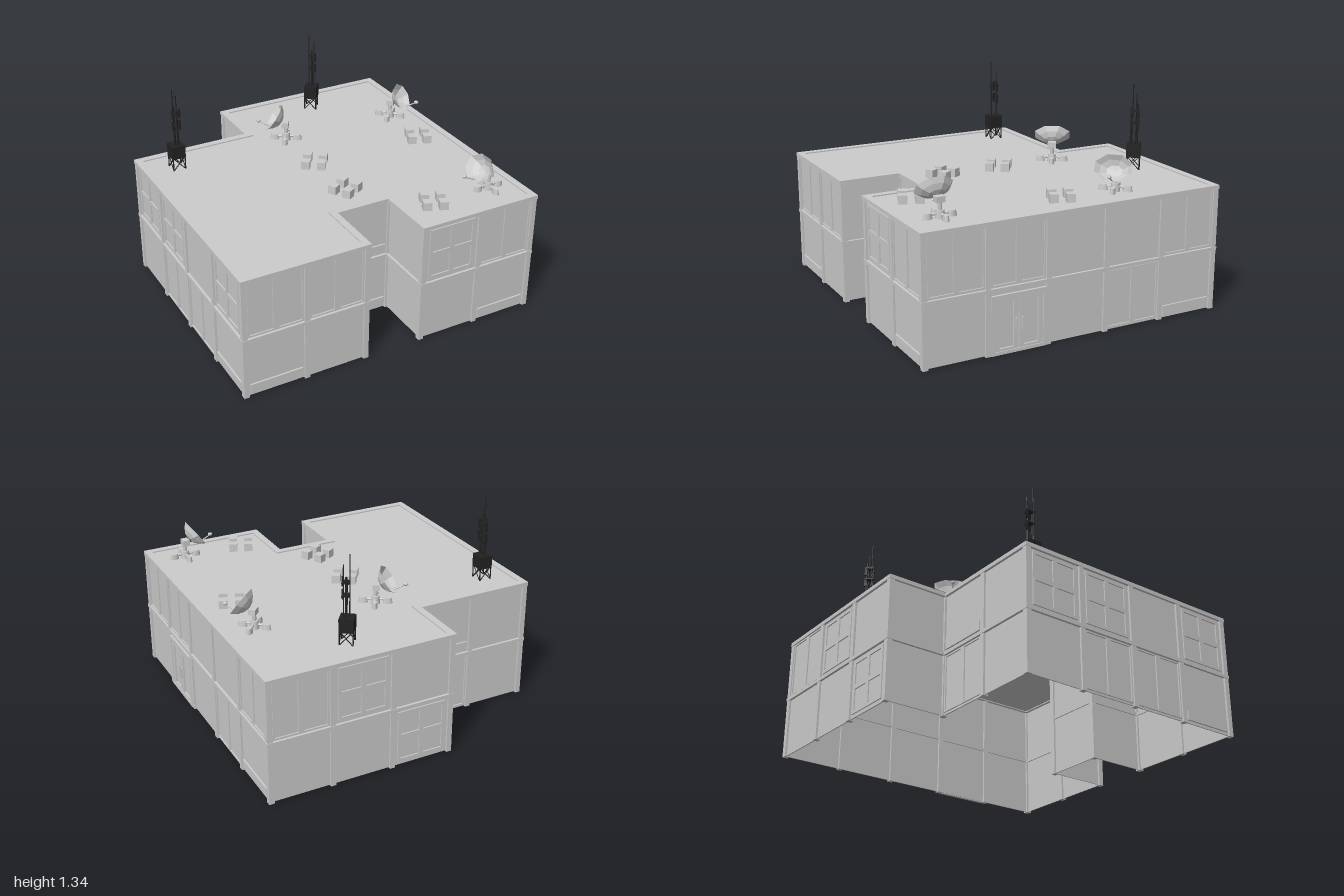
import * as THREE from 'three';

const grey = new THREE.MeshStandardMaterial({ color: 0xcccccc, flatShading: true, side: THREE.DoubleSide });
const smooth = new THREE.MeshStandardMaterial({ color: 0xcccccc, side: THREE.DoubleSide });
const black = new THREE.MeshStandardMaterial({ color: 0x222222, flatShading: true });

function add(parent, name, geo, mat, x = 0, y = 0, z = 0) {
  const m = new THREE.Mesh(geo, mat);
  m.name = name;
  m.position.set(x, y, z);
  parent.add(m);
  return m;
}
const box = (parent, name, w, h, d, x, y, z, mat = grey) =>
  add(parent, name, new THREE.BoxGeometry(w, h, d), mat, x, y, z);

// Round bar between two points
function bar(parent, name, a, b, r, mat, sides = 6) {
  const p = new THREE.Vector3(...a), q = new THREE.Vector3(...b);
  const m = add(parent, name, new THREE.CylinderGeometry(r, r, p.distanceTo(q), sides), mat);
  m.position.copy(p).add(q).multiplyScalar(0.5);
  m.quaternion.setFromUnitVectors(new THREE.Vector3(0, 1, 0), q.sub(p).normalize());
  return m;
}

// Wall centre line (x, z), each side with its upper and lower bay types:
// P two panes, X four panes, S low sill panel, D double door, . plain
const A = 0.98, B = 0.195, C = 0.585, BAY = 0.391;
const sides = [
  [-A, A, 'PP', 'S.'], [-B, A, '.', '.'], [-B, C, 'S', 'S'], [B, C, '.', '.'],
  [B, A, 'XP', '.S'], [A, A, 'PP..P', '.D.PS'], [A, -A, 'PX.', '..X'],
  [-B, -A, '.', '.'], [-B, -C, 'S.', 'P.'], [-A, -C, 'XX.X', '.PPS'],
];

// Footprint moved outward by d
function outline(d) {
  const n = sides.length;
  const normal = i => {
    const p = sides[(i + n) % n], q = sides[(i + 1 + n) % n];
    return [-Math.sign(q[1] - p[1]), Math.sign(q[0] - p[0])];
  };
  return sides.map(([x, z], i) => {
    const a = normal(i - 1), b = normal(i);
    return new THREE.Vector2(x + d * (a[0] + b[0]), -(z + d * (a[1] + b[1])));
  });
}
function slab(outer, inner, height) {
  const s = new THREE.Shape(outline(outer));
  if (inner !== null) s.holes.push(new THREE.Path(outline(inner)));
  return new THREE.ExtrudeGeometry(s, { depth: height, bevelEnabled: false }).rotateX(-Math.PI / 2);
}

function rect(s, x, y, w, h) {
  s.moveTo(x, y); s.lineTo(x + w, y); s.lineTo(x + w, y + h); s.lineTo(x, y + h); s.closePath();
  return s;
}
// Window frame with cols x rows openings, centred in x and standing on y = 0
function frameGeo(w, h, cols, rows, edge, gap, depth) {
  const s = rect(new THREE.Shape(), -w / 2, 0, w, h);
  const pw = (w - 2 * edge - (cols - 1) * gap) / cols, ph = (h - 2 * edge - (rows - 1) * gap) / rows;
  for (let i = 0; i < cols; i++) for (let j = 0; j < rows; j++)
    s.holes.push(rect(new THREE.Path(), -w / 2 + edge + i * (pw + gap), edge + j * (ph + gap), pw, ph));
  return new THREE.ExtrudeGeometry(s, { depth, bevelEnabled: false });
}

function bay(parent, type, x, y) {
  if (type === 'P') add(parent, 'windowFrame', frameGeo(0.35, 0.36, 2, 1, 0.01, 0.036, 0.008), grey, x, y + 0.01, 0.004);
  if (type === 'X') add(parent, 'windowGrid', frameGeo(0.32, 0.34, 2, 2, 0.02, 0.03, 0.008), grey, x, y + 0.02, 0.004);
  if (type === 'S') box(parent, 'sillPanel', 0.335, 0.06, 0.018, x, y + 0.045, 0.006);
  if (type === 'D') {
    add(parent, 'doorFrame', frameGeo(0.36, 0.36, 1, 1, 0.02, 0, 0.02), grey, x, 0, 0);
    for (const s of [-1, 1]) {
      add(parent, 'doorLeaf', frameGeo(0.155, 0.335, 1, 1, 0.03, 0, 0.012), grey, x + s * 0.08, 0.005, 0.003);
      box(parent, 'doorHandle', 0.008, 0.08, 0.012, x + s * 0.02, 0.17, 0.02);
    }
  }
}

function buildWalls(root) {
  sides.forEach(([x, z, upper, lower], i) => {
    const [nx, nz] = sides[(i + 1) % sides.length];
    const len = Math.hypot(nx - x, nz - z), step = len / upper.length;
    const g = new THREE.Group();
    g.name = 'wall';
    g.position.set(x, 0, z);
    g.rotation.y = Math.atan2(z - nz, nx - x);
    root.add(g);
    box(g, 'wallPanel', len, 0.78, 0.008, len / 2, 0.395, 0);
    for (let k = 0; k < upper.length; k++) {
      box(g, 'post', 0.034, 0.785, 0.034, k * step, 0.3925, 0);
      bay(g, upper[k], (k + 0.5) * step, 0.403);
      bay(g, lower[k], (k + 0.5) * step, 0.008);
    }
  });
  add(root, 'floorBand', slab(0.02, -0.012, 0.022), grey, 0, 0.383);
  add(root, 'roofRim', slab(0.02, -0.025, 0.025), grey, 0, 0.775);
  add(root, 'roof', slab(0, null, 0.01), grey, 0, 0.782);
}

// Four roof units in a square
function roofUnits(root, x, z, deg) {
  const g = new THREE.Group();
  g.name = 'roofUnits';
  g.position.set(x, 0.792, z);
  g.rotation.y = THREE.MathUtils.degToRad(deg);
  for (const i of [-1, 1]) for (const j of [-1, 1])
    box(g, 'roofUnit', 0.054, 0.053, 0.054, i * 0.05, 0.0265, j * 0.05);
  root.add(g);
}

// Dish antenna looking along (dx, dz)
function dish(root, x, z, dx, dz) {
  const g = new THREE.Group();
  g.name = 'dishAntenna';
  g.position.set(x, 0.79, z);
  g.rotation.y = Math.atan2(-dz, dx);
  root.add(g);
  for (let i = 0; i < 4; i++) {
    const a = i * Math.PI / 2, c = Math.cos(a), s = Math.sin(a);
    const foot = add(g, 'footPad', new THREE.CylinderGeometry(0.8, 1, 1, 12), smooth, c * 0.075, 0.025, s * 0.075);
    foot.scale.set(0.03, 0.035, 0.018);
    foot.rotation.y = -a;
    bar(g, 'footArm', [0, 0.035, 0], [c * 0.075, 0.03, s * 0.075], 0.008, grey);
  }
  add(g, 'hub', new THREE.CylinderGeometry(0.025, 0.03, 0.05, 10), smooth, 0, 0.03, 0);
  add(g, 'column', new THREE.CylinderGeometry(0.013, 0.013, 0.08, 8), smooth, 0, 0.08, 0);
  box(g, 'pivot', 0.045, 0.035, 0.055, 0.005, 0.115, 0);
  // reflector: shallow eight-sided bowl, tilted back
  const profile = [[0, 0], [0.05, 0.01], [0.09, 0.032], [0.122, 0.062]].map(p => new THREE.Vector2(...p));
  const bowl = new THREE.LatheGeometry(profile, 8, Math.PI / 8).rotateZ(-Math.PI / 2).scale(1, 0.75, 1);
  const m = add(g, 'reflector', bowl, grey, 0.028, 0.13, 0);
  m.rotation.z = 0.62;
  bar(g, 'feedArm', [0.085, 0.085, 0], [0.18, 0.133, 0], 0.004, grey);
  const feed = add(g, 'feed', new THREE.SphereGeometry(0.012, 8, 6), smooth, 0.182, 0.137, 0);
  feed.scale.x = 1.4;
}

// Radio mast on a braced stand
function mast(root, x, z, deg) {
  const g = new THREE.Group();
  g.name = 'radioMast';
  g.position.set(x, 0.79, z);
  g.rotation.y = THREE.MathUtils.degToRad(deg);
  root.add(g);
  const h = 0.04, top = 0.09;
  for (let i = 0; i < 4; i++) {
    const side = new THREE.Group();
    side.name = 'standSide';
    side.rotation.y = i * Math.PI / 2;
    g.add(side);
    bar(side, 'leg', [-h, 0, h], [-h, top, h], 0.004, black);
    bar(side, 'brace', [-h, 0, h], [h, top, h], 0.003, black);
    bar(side, 'brace', [h, 0, h], [-h, top, h], 0.003, black);
  }
  box(g, 'cabinet', 0.088, 0.085, 0.088, 0, 0.123, 0, black);
  const poles = [[-0.012, 0.012, 0.545, 0.0035], [0.02, -0.012, 0.49, 0.0035], [0.003, -0.02, 0.42, 0.006], [0.008, 0.02, 0.4, 0.006]];
  for (const [px, pz, y, r] of poles) bar(g, 'pole', [px, 0.16, pz], [px, y, pz], r, black);
  for (const y of [0.3, 0.38]) {
    box(g, 'crossArm', 0.045, 0.008, 0.05, 0.008, y, 0, black);
    box(g, 'aerialPanel', 0.012, 0.06, 0.016, 0.028, y, 0.012, black);
    box(g, 'aerialPanel', 0.012, 0.06, 0.016, 0.0, y - 0.02, -0.026, black);
  }
}

export function createModel() {
  const root = new THREE.Group();
  root.name = 'building';
  buildWalls(root);
  roofUnits(root, 0, -0.01, -35);
  roofUnits(root, 0, 0.385, 30);
  roofUnits(root, 0.78, -0.005, -22);
  roofUnits(root, 0.388, 0.777, -22);
  dish(root, 0, -0.41, -0.85, -0.53);
  dish(root, 0.79, -0.38, 0.7, 0.72);
  dish(root, 0.785, 0.78, -1, 0);
  mast(root, -0.785, -0.395, 0);
  mast(root, 0.39, -0.785, -38);
  return root;
}
